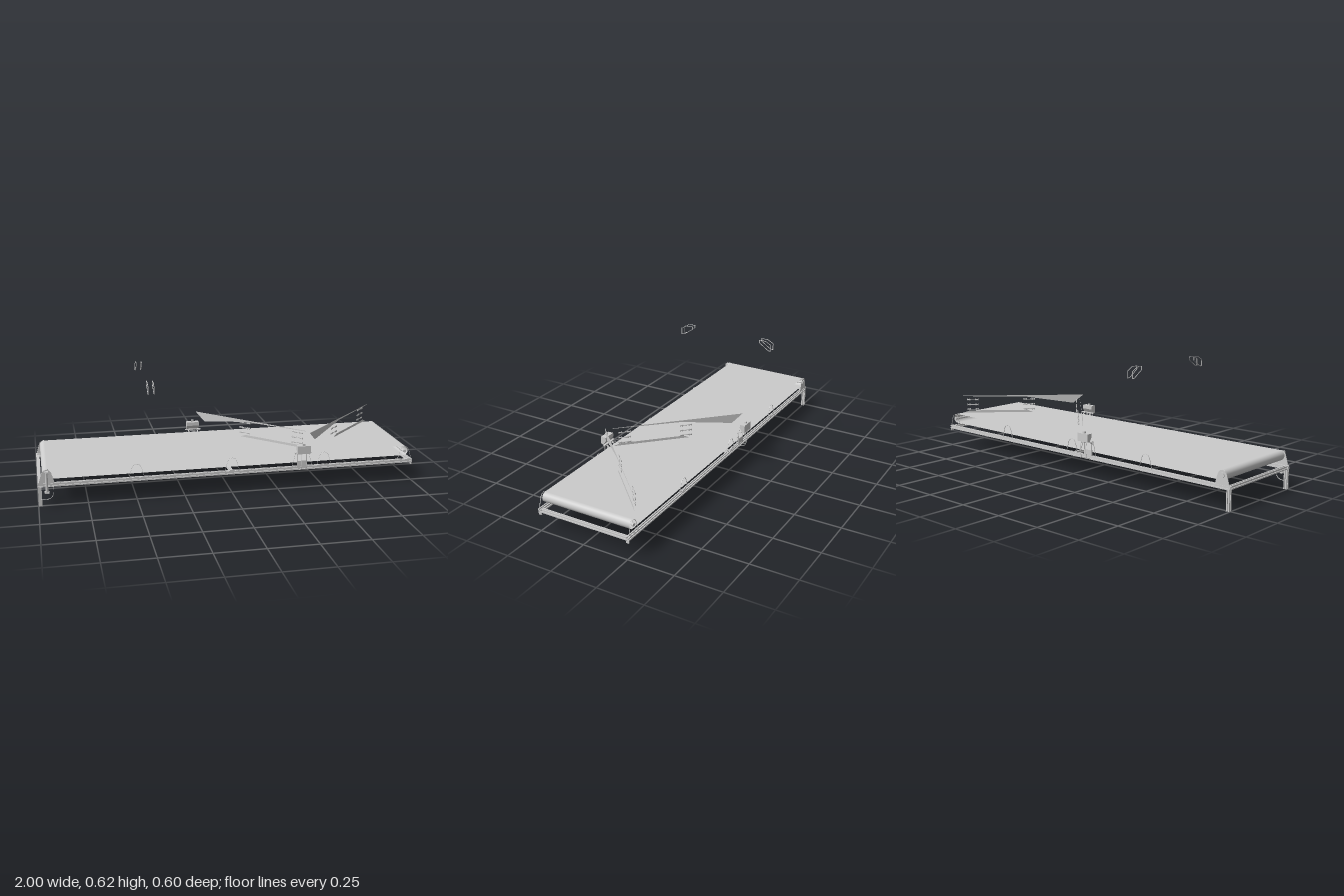
import * as THREE from 'three';

const material = new THREE.MeshStandardMaterial({ color: 0xcccccc });
const thin = new THREE.MeshStandardMaterial({ color: 0xcccccc, side: THREE.DoubleSide });

export function createModel() {
  const model = new THREE.Group();

  const add = (name, geometry, x = 0, y = 0, z = 0, parent = model, mat = material) => {
    const mesh = new THREE.Mesh(geometry, mat);
    mesh.name = name;
    mesh.position.set(x, y, z);
    parent.add(mesh);
    return mesh;
  };
  const box = (name, w, h, d, x, y, z, parent) => add(name, new THREE.BoxGeometry(w, h, d), x, y, z, parent);
  const shapeOf = (points) => new THREE.Shape(points.map(([x, y]) => new THREE.Vector2(x, y)));
  // Plate centred in depth, facing z
  const plate = (shape, depth) =>
    new THREE.ExtrudeGeometry(shape, { depth, bevelEnabled: false, curveSegments: 10 }).translate(0, 0, -depth / 2);
  // Thin rim following a closed outline
  const rim = (points, depth, factor) => {
    const cx = points.reduce((s, p) => s + p[0], 0) / points.length;
    const cy = points.reduce((s, p) => s + p[1], 0) / points.length;
    const shape = shapeOf(points);
    shape.holes.push(new THREE.Path(points.map(([x, y]) =>
      new THREE.Vector2(cx + (x - cx) * factor, cy + (y - cy) * factor))));
    return plate(shape, depth);
  };
  // Square aluminium profile with a slot on every side
  const slotted = (size, length) => {
    const h = size / 2, w = size * 0.15, d = size * 0.3;
    const points = [];
    for (let i = 0; i < 4; i++) {
      const c = Math.round(Math.cos(i * Math.PI / 2)), s = Math.round(Math.sin(i * Math.PI / 2));
      for (const [x, y] of [[-h, -h], [-w, -h], [-w, -h + d], [w, -h + d], [w, -h]])
        points.push([x * c - y * s, x * s + y * c]);
    }
    return plate(shapeOf(points), length);
  };

  // Base frame
  for (const side of [1, -1]) {
    add('sideRail', slotted(0.019, 2).rotateY(Math.PI / 2), 0, 0.111, side * 0.251);
    add('endRail', slotted(0.018, 0.484), side * 0.99, 0.111, 0);
    add('leg', slotted(0.018, 0.102).rotateX(Math.PI / 2), -0.99, 0.051, side * 0.251);
    box('cornerFoot', 0.006, 0.014, 0.016, 0.996, 0.096, side * 0.251);
  }
  add('middleCrossbar', slotted(0.016, 0.484), 0, 0.111, 0);

  // Belt loop, open along both sides so its inside shows
  const r = 0.026, beltY = 0.167, endX = 0.95, beltW = 0.5;
  const belt = new THREE.Group();
  belt.name = 'belt';
  model.add(belt);
  for (const side of [1, -1]) {
    const run = new THREE.PlaneGeometry(2 * endX, beltW).rotateX(-side * Math.PI / 2);
    add(side > 0 ? 'beltTop' : 'beltBottom', run, 0, beltY + side * r, 0, belt, thin);
    const curve = new THREE.CylinderGeometry(r, r, beltW, 24, 1, true, side > 0 ? 0 : Math.PI, Math.PI);
    add('beltEnd', curve.rotateX(Math.PI / 2), side * endX, beltY, 0, belt, thin);
    add('rollerShaft', new THREE.CylinderGeometry(0.006, 0.006, 0.522, 12).rotateX(Math.PI / 2), side * endX, beltY, 0);
  }

  // Bearing plates at the ends and rims along the sides
  const dome = [[-0.04, 0.12], [0.04, 0.12], [0.036, 0.135], [0.024, 0.175], [0.014, 0.188],
    [0, 0.193], [-0.014, 0.188], [-0.024, 0.175], [-0.036, 0.135]];
  for (const side of [1, -1]) {
    add('drivePlate', plate(shapeOf(dome), 0.004), -0.955, 0, side * 0.256);
    add('bearing', new THREE.CylinderGeometry(0.013, 0.013, 0.008, 16).rotateX(Math.PI / 2), -0.955, beltY, side * 0.259);
    add('idlerPlate', rim(dome, 0.003, 0.96), 0.955, 0, side * 0.256);
    add('idlerBearing', new THREE.CylinderGeometry(0.008, 0.008, 0.008, 16).rotateX(Math.PI / 2), 0.955, beltY, side * 0.256);
    for (const x of [-0.5, 0, 0.5]) {
      add('sideBracket', rim(dome, 0.003, 0.96), x, 0, side * 0.256);
      box('bracketClamp', 0.025, 0.005, 0.005, x, 0.123, side * 0.256);
    }
  }

  // Gear motor hanging beside the drive end
  const motor = new THREE.Group();
  motor.name = 'driveMotor';
  motor.position.set(-0.955, 0, 0);
  model.add(motor);
  const guard = [[-0.035, 0.105], [-0.035, 0.036], [0, 0.036], [0.018, 0.043], [0.03, 0.057], [0.035, 0.075], [0.035, 0.105]];
  add('motorGuard', rim(guard, 0.005, 0.95), 0, 0, 0.264, motor);
  add('motorAxle', new THREE.CylinderGeometry(0.009, 0.009, 0.014, 14).rotateX(Math.PI / 2), 0, 0.08, 0.266, motor);
  add('motorBody', new THREE.CylinderGeometry(0.007, 0.007, 0.1, 16), 0, 0.13, 0.275, motor);
  box('motorFoot', 0.024, 0.008, 0.02, 0, 0.078, 0.273, motor);
  box('motorHead', 0.022, 0.016, 0.018, 0, 0.178, 0.268, motor);

  // Sensor boxes with stands and hoses, one on each side
  const housing = [[0.015, 0.243], [-0.015, 0.243], [-0.015, 0.223], [0, 0.2], [0.015, 0.2]];
  const stand = [[-0.055, 0.12], [0.055, 0.12], [0.036, 0.2], [-0.036, 0.2]];
  for (const [x, turn] of [[0.378, 0], [-0.115, Math.PI]]) {
    const sensor = new THREE.Group();
    sensor.name = 'sensorUnit';
    sensor.position.x = x;
    sensor.rotation.y = turn;
    model.add(sensor);
    const body = plate(shapeOf(housing.map(([z, y]) => [-z, y])), 0.07).rotateY(Math.PI / 2);
    add('sensorBox', body, 0, 0, 0.283, sensor);
    box('sensorTray', 0.09, 0.004, 0.012, 0, 0.201, 0.274, sensor);
    box('sensorCap', 0.014, 0.01, 0.01, 0, 0.248, 0.286, sensor);
    add('sensorStand', rim(stand, 0.003, 0.97), 0, 0, 0.257, sensor);
    box('standBlock', 0.05, 0.03, 0.008, 0, 0.136, 0.255, sensor);
    for (const sx of [-0.025, 0.025]) {
      const arm = box('standArm', 0.005, 0.005, 0.034, sx, 0.192, 0.264, sensor);
      arm.rotation.x = -0.6;
      box('standPost', 0.003, 0.07, 0.004, sx, 0.155, 0.257, sensor);
    }
    for (const [sx, z] of [[-0.015, 0.296], [0.015, 0.289]]) {
      const path = new THREE.CatmullRomCurve3([[z - 0.004, 0.203], [z, 0.18], [z, 0.135], [z - 0.008, 0.113], [0.262, 0.106]]
        .map(([pz, py]) => new THREE.Vector3(sx, py, pz)));
      add('hose', new THREE.TubeGeometry(path, 20, 0.0015, 6), 0, 0, 0, sensor);
    }
  }

  // Two diagonal diverters above the belt: sheet panels joined by dumbbell links
  const upper = [[0, 0.305], [0.06, 0.256], [0.34, 0.296], [0.71, 0.302], [0.71, 0.305]];
  const lower = [[0.3, 0.205], [0.71, 0.205], [0.67, 0.218], [0.33, 0.218]];
  const dumbbell = [[0, -0.033], [0.0065, -0.033], [0.0025, -0.025], [0.0065, -0.017], [0.002, -0.012],
    [0.002, 0.012], [0.0065, 0.017], [0.0025, 0.025], [0.0065, 0.033], [0, 0.033]];
  for (const [x, z, angle] of [[-0.085, -0.287, -Math.PI / 4], [0.4, 0.259, Math.PI / 4]]) {
    const diverter = new THREE.Group();
    diverter.name = 'diverter';
    diverter.position.set(x, 0, z);
    diverter.rotation.y = angle;
    model.add(diverter);
    add('upperPanel', new THREE.ShapeGeometry(shapeOf(upper)), 0, 0, 0.018, diverter, thin);
    add('lowerPanel', new THREE.ShapeGeometry(shapeOf(lower)), 0, 0, 0.01, diverter, thin);
    for (const u of [0.32, 0.65])
      for (const y of [0.227, 0.255, 0.284]) {
        const link = new THREE.LatheGeometry(dumbbell.map(([a, b]) => new THREE.Vector2(a, b)), 10);
        add('diverterLink', link.rotateZ(Math.PI / 2).scale(1, 1, 0.4), u, y, 0, diverter);
      }
  }

  // Raised rim brackets on both sides
  const wing = [[0.285, 0.56], [0.27, 0.56], [0.212, 0.598], [0.212, 0.615], [0.25, 0.615], [0.285, 0.597]];
  for (const side of [1, -1])
    for (const x of [-0.435, -0.405]) {
      const points = wing.map(([z, y]) => [-side * z, y]);
      if (side < 0) points.reverse();
      add('raisedBracket', rim(points, 0.003, 0.91).rotateY(Math.PI / 2), x, 0, 0);
    }

  return model;
}
